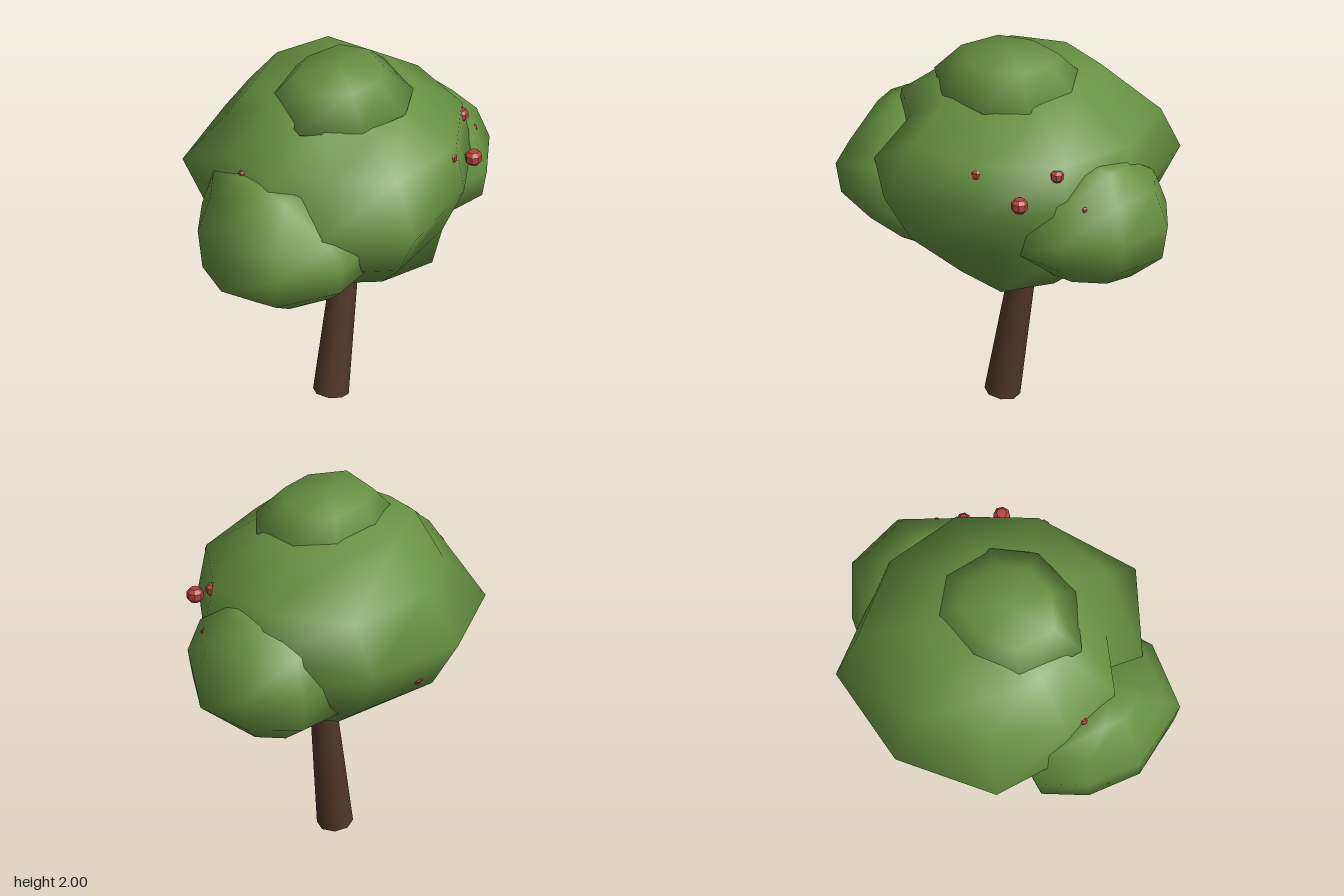
import * as THREE from 'three';

const leafGreen = new THREE.MeshStandardMaterial({ name: 'leaf green', color: 0x679242 });
const barkBrown = new THREE.MeshStandardMaterial({ name: 'bark brown', color: 0x523829 });
const fruitRed = new THREE.MeshStandardMaterial({ name: 'fruit red', color: 0xb4423a });

// Closed smooth clump: a plan outline [x, z] scaled about its centre at each ring,
// with optional own plan, sideways shift and tilt along z, closed by two end points.
function clump(name, [cx, cz], outline, bottom, rings, top) {
  const n = outline.length;
  const pos = [...bottom];
  for (const { y, plan = outline, sx = 1, sz = 1, dx = 0, tilt = 0 } of rings) {
    for (const [x, z] of plan) {
      const pz = cz + (z - cz) * sz;
      pos.push(cx + dx + (x - cx) * sx, y + tilt * pz, pz);
    }
  }
  pos.push(...top);
  const last = pos.length / 3 - 1;
  const index = [];
  for (let i = 0; i < n; i++) {
    const j = (i + 1) % n;
    index.push(0, 1 + j, 1 + i);
    for (let r = 0; r < rings.length - 1; r++) {
      const a = 1 + r * n + i, b = 1 + r * n + j;
      index.push(a, b, b + n, a, b + n, a + n);
    }
    index.push(last - n + i, last - n + j, last);
  }
  const geo = new THREE.BufferGeometry();
  geo.setAttribute('position', new THREE.Float32BufferAttribute(pos, 3));
  geo.setIndex(index);
  geo.computeVertexNormals();
  const mesh = new THREE.Mesh(geo, leafGreen);
  mesh.name = name;
  return mesh;
}

// Tapered limb between two points
function limb(name, from, to, r0, r1, sides) {
  const a = new THREE.Vector3(...from), b = new THREE.Vector3(...to);
  const dir = b.clone().sub(a);
  const mesh = new THREE.Mesh(new THREE.CylinderGeometry(r1, r0, dir.length(), sides), barkBrown);
  mesh.position.copy(a).add(b).multiplyScalar(0.5);
  mesh.quaternion.setFromUnitVectors(new THREE.Vector3(0, 1, 0), dir.normalize());
  mesh.name = name;
  return mesh;
}

export function createModel() {
  const tree = new THREE.Group();
  tree.name = 'fruitTree';

  // Leaning trunk and two forks
  tree.add(
    limb('trunk', [-0.08, 0.015, 0.025], [0.038, 0.735, -0.012], 0.094, 0.07, 8),
    limb('rightFork', [0.0, 0.67, 0.0], [-0.3, 0.92, 0.09], 0.042, 0.032, 8),
    limb('leftFork', [0.05, 0.7, -0.02], [0.24, 0.9, -0.07], 0.04, 0.034, 8),
  );

  // Broad main crown, fuller at its lower front left and upper left
  const lowPlan = [[0, 0.37], [0.32, 0.37], [0.45, 0.12], [0.43, -0.1], [0.28, -0.37],
    [-0.02, -0.37], [-0.28, -0.25], [-0.33, -0.05], [-0.31, 0.1], [-0.2, 0.26]];
  const highPlan = [[-0.09, 0.63], [0.36, 0.53], [0.63, 0.2], [0.65, -0.22], [0.42, -0.63],
    [-0.13, -0.63], [-0.43, -0.42], [-0.65, -0.09], [-0.63, 0.25], [-0.36, 0.41]];
  tree.add(clump('mainCrown', [0, 0],
    [[-0.1, 0.81], [0.38, 0.57], [0.68, 0.22], [0.71, -0.2], [0.41, -0.77],
      [-0.15, -0.82], [-0.63, -0.53], [-0.7, -0.1], [-0.68, 0.22], [-0.5, 0.54]],
    [0.02, 0.79, 0],
    [
      { y: 0.868, plan: lowPlan, tilt: -0.08 },
      { y: 1.08, sx: 0.86, sz: 0.79 },
      { y: 1.36 },
      { y: 1.62, plan: highPlan },
      { y: 1.84, sx: 0.55, sz: 0.52, dx: -0.02, tilt: -0.08 },
    ],
    [0, 1.89, 0]));

  // Side clumps
  tree.add(clump('rightClump', [-0.5, 0.2],
    [[-0.44, 0.65], [-0.1, 0.5], [-0.1, 0.1], [-0.4, -0.25],
      [-0.67, -0.3], [-0.84, -0.1], [-0.92, 0.2], [-0.8, 0.55]],
    [-0.43, 0.84, 0.12],
    [
      { y: 0.845, sx: 0.62, sz: 0.55, dx: 0.08, tilt: 0.16 },
      { y: 1.01, sx: 0.96, sz: 0.92, tilt: 0.08 },
      { y: 1.22 },
      { y: 1.43, sx: 0.82, sz: 0.82, dx: -0.02, tilt: -0.18 },
      { y: 1.57, sx: 0.33, sz: 0.36, dx: -0.13, tilt: -0.1 },
    ],
    [-0.66, 1.58, 0.18]));
  tree.add(clump('leftClump', [0.53, -0.06],
    [[0.4, 0.36], [0.71, 0.31], [0.92, 0.04], [0.88, -0.29], [0.64, -0.48], [0.34, -0.48], [0.12, -0.05]],
    [0.5, 0.87, -0.1],
    [
      { y: 0.92, sx: 0.5, sz: 0.55, tilt: 0.12 },
      { y: 1.05, sx: 0.91, sz: 0.95, tilt: 0.08 },
      { y: 1.22 },
      { y: 1.41, sx: 0.82, sz: 0.84 },
      { y: 1.54, sx: 0.36, sz: 0.38, dx: 0.06 },
    ],
    [0.63, 1.57, 0]));

  // Cap on top
  tree.add(clump('topClump', [0, 0.03],
    [[-0.13, 0.37], [0.15, 0.35], [0.32, 0.18], [0.37, -0.1],
      [0.22, -0.3], [-0.1, -0.3], [-0.35, -0.15], [-0.4, 0.2]],
    [0, 1.62, 0.03],
    [
      { y: 1.66, sx: 0.6, sz: 0.6 },
      { y: 1.81, sx: 1.03, sz: 1.05 },
      { y: 1.97, sx: 0.64, sz: 0.64, dx: -0.02 },
    ],
    [-0.03, 2, 0.02]));

  // Small faceted fruits, most of them half sunk in the leaves: x, y, z, radius
  const profile = [[0, -0.85], [0.6, -0.85], [1, -0.4], [1, 0.4], [0.6, 0.85], [0, 0.85]]
    .map(([x, y]) => new THREE.Vector2(x, y));
  const fruitGeo = new THREE.LatheGeometry(profile, 8).toNonIndexed();
  fruitGeo.computeVertexNormals();
  const fruits = [
    [0.54, 1.435, 0.43, 0.044], [0.32, 1.57, 0.53, 0.036], [0.605, 1.57, 0.23, 0.037],
    [0.735, 1.4, 0.155, 0.02], [-0.65, 1.57, 0.03, 0.02], [0, 1.17, -0.655, 0.04],
  ];
  for (const [x, y, z, r] of fruits) {
    const fruit = new THREE.Mesh(fruitGeo, fruitRed);
    fruit.position.set(x, y, z);
    fruit.scale.setScalar(r);
    fruit.name = 'fruit';
    tree.add(fruit);
  }
  return tree;
}
